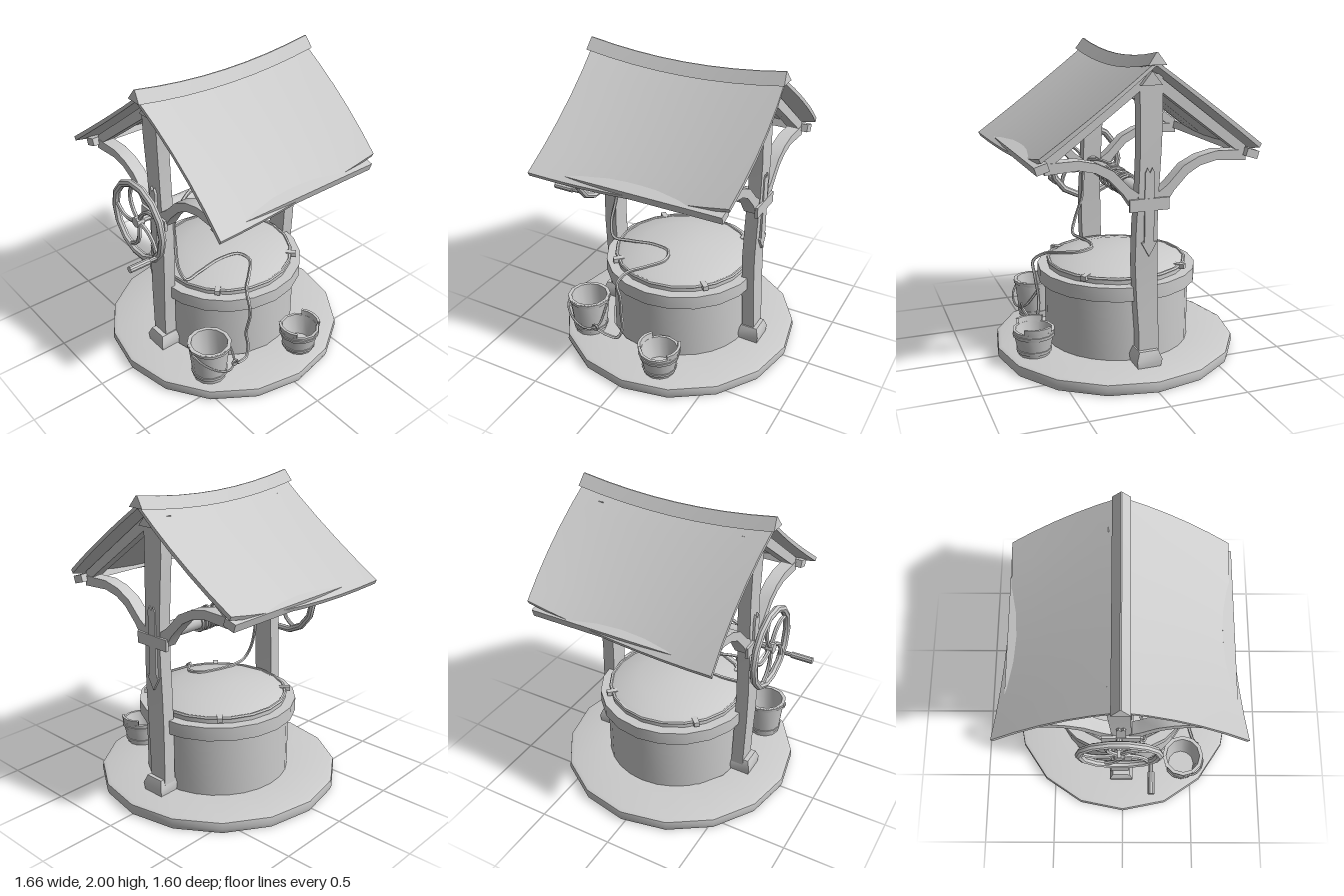
import * as THREE from 'three';
import { toCreasedNormals } from 'three/addons/utils/BufferGeometryUtils.js';

const V = (x, y, z) => new THREE.Vector3(x, y, z);
const ZC = -0.01; // z of the frame and the well axis
const XC = 0.05; // x of the well axis

export function createModel() {
  const root = new THREE.Group();
  const grey = new THREE.MeshStandardMaterial({ color: 0xcccccc, side: THREE.DoubleSide });

  const add = (name, geo, x = 0, y = 0, z = 0, parent = root) => {
    const mesh = new THREE.Mesh(toCreasedNormals(geo, 0.6), grey);
    mesh.name = name;
    mesh.position.set(x, y, z);
    parent.add(mesh);
    return mesh;
  };
  const box = (name, w, h, d, x, y, z, parent) => add(name, new THREE.BoxGeometry(w, h, d), x, y, z, parent);
  const lathe = (pts, seg, start = 0, span = Math.PI * 2) =>
    new THREE.LatheGeometry(pts.map(p => new THREE.Vector2(...p)), seg, start, span);
  const tube = (pts, r, n, sides = 6) =>
    new THREE.TubeGeometry(new THREE.CatmullRomCurve3(pts), n, r, sides);
  const rodX = (r, len, sides) => new THREE.CylinderGeometry(r, r, len, sides).rotateZ(Math.PI / 2);
  // Move every vertex of a geometry by a rule
  const bend = (geo, rule) => {
    const p = geo.attributes.position;
    for (let i = 0; i < p.count; i++) p.setXYZ(i, ...rule(p.getX(i), p.getY(i), p.getZ(i)));
    return geo;
  };
  // Outline in (z, y), extruded along x and centred
  const sideShape = (pts, depth) =>
    new THREE.ExtrudeGeometry(new THREE.Shape(pts.map(p => new THREE.Vector2(...p))), { depth, bevelEnabled: false })
      .rotateY(-Math.PI / 2).translate(depth / 2, 0, 0);
  // Quadratic through values at u = 0, 0.5, 1
  const quad = (a, b, c, u) => a * (1 - u) * (1 - 2 * u) + 4 * b * u * (1 - u) + c * u * (2 * u - 1);

  // Stone base, hollow below, and the well itself
  add('baseSlab', lathe([[0.79, 0], [0.8, 0.03], [0.795, 0.07], [0.77, 0.08], [0.47, 0.085]], 16), 0.03, 0, 0);
  add('wellWall', lathe([[0.475, 0.04], [0.475, 0.5]], 28), XC, 0, ZC);
  add('wellRim', lathe([[0.47, 0.49], [0.52, 0.49], [0.52, 0.58], [0.44, 0.58], [0.44, 0.49], [0.47, 0.49]], 20), XC, 0, ZC);

  // Domed lid with hoop and clips
  add('lid', lathe([[0.455, 0.57], [0.455, 0.61], [0.41, 0.63], [0.27, 0.663], [0.12, 0.682], [0, 0.686]], 20), XC, 0, ZC);
  add('lidHoop', new THREE.TorusGeometry(0.45, 0.012, 6, 20).rotateX(Math.PI / 2), XC, 0.613, ZC);
  for (let i = 0; i < 4; i++) {
    const a = Math.PI / 4 + i * Math.PI / 2;
    box('lidClip', 0.035, 0.03, 0.07, XC + 0.45 * Math.sin(a), 0.613, ZC + 0.45 * Math.cos(a)).rotation.y = a;
  }

  // Two end frames: post, foot, braces, rafters and iron cross
  for (const side of [-1, 1]) {
    const frame = new THREE.Group();
    frame.name = side > 0 ? 'leftFrame' : 'rightFrame';
    frame.position.set(XC + side * 0.517, 0, ZC);
    root.add(frame);

    add('post', bend(new THREE.BoxGeometry(0.085, 1.8, 0.135, 1, 8, 1), (x, y, z) =>
      [x + 0.006 * Math.sin(y * 5), y + 0.97, z * (1 - 0.06 * Math.sin(y * 6)) + 0.012 * Math.sin(y * 4 + 2)]), 0, 0, 0, frame);
    add('foot', bend(new THREE.BoxGeometry(0.15, 0.11, 0.165, 1, 2, 1), (x, y, z) => {
      const k = y > 0.01 ? 0.75 : y < -0.01 ? 0.9 : 1;
      return [x * k, y + 0.13, z * k];
    }), side * 0.015, 0, 0, frame);

    for (const s of [-1, 1]) {
      add('brace', sideShape([[0.05, 1.07], [0.1, 1.09], [0.16, 1.18], [0.25, 1.275], [0.33, 1.32], [0.43, 1.343], [0.63, 1.33],
        [0.63, 1.395], [0.43, 1.4], [0.32, 1.375], [0.22, 1.325], [0.12, 1.22], [0.05, 1.17]].map(([z, y]) => [s * z, y]), 0.085), 0, 0, 0, frame);
      add('rafter', sideShape([[0, 1.9], [0.63, 1.42], [0.63, 1.37], [0.58, 1.385], [0, 1.82]].map(([z, y]) => [s * z, y]), 0.075), 0, 0, 0, frame);
    }

    // Iron cross with pointed ends on the outer face
    const out = side * 0.048;
    add('crossUpright', sideShape([[0, 0.79], [0.05, 0.88], [0.03, 0.88], [0.03, 0.97], [0.03, 1.3],
      [0.015, 1.33], [0, 1.3], [-0.015, 1.33], [-0.03, 1.3], [-0.03, 0.88], [-0.05, 0.88]], 0.015), out, 0, 0, frame);
    box('crossBar', 0.02, 0.075, 0.25, out, 1.11, 0, frame);
  }

  // Long beams under the roof
  add('ridgeBeam', sideShape([[-0.065, 1.81], [0.065, 1.81], [0, 1.89]], 1.18), XC, 0, ZC);
  for (const s of [-1, 1])
    box('eaveBeam', 1.2, 0.05, 0.08, XC, 1.375, ZC + s * 0.655).rotation.x = s * 0.3;

  // Sagging roof: one slab per slope
  for (const s of [1, -1]) {
    add(s > 0 ? 'frontRoof' : 'backRoof', bend(new THREE.BoxGeometry(1, 1, 1, 8, 1, 5), (x, y, z) => {
      const u = x + 0.5, t = 0.5 + s * z;
      const reach = s > 0 ? quad(0.76, 0.69, 0.68, u) : quad(0.77, 0.705, 0.695, u);
      const top = quad(1.95, 1.895, 1.95, u), eave = quad(1.385, 1.358, 1.44, u);
      const left = -0.6 + 0.1 * t * (1 - t), right = 0.7 - 0.02 * t + 0.1 * t * (1 - t);
      return [THREE.MathUtils.lerp(left, right, u),
        THREE.MathUtils.lerp(top, eave, t) + (y - 0.5) * 0.025,
        ZC + s * (reach * t + (y - 0.5) * 0.012 * t)];
    }));
  }
  add('ridgeCap', bend(new THREE.BoxGeometry(1, 1, 1, 8, 1, 1), (x, y, z) => [
    XC + x * (y > 0 ? 1.31 : 1.33), quad(1.965, 1.91, 1.965, x + 0.5) + y * 0.07, ZC + z * (y > 0 ? 0.008 : 0.11)]));

  // Axle with rope peg
  add('axle', rodX(0.055, 0.98, 14), XC, 1.145, ZC);
  box('ropePeg', 0.022, 0.05, 0.03, 0.285, 1.16, ZC + 0.055);

  // Crank wheel with curved spokes and a handle
  const wheel = new THREE.Group();
  wheel.name = 'crankWheel';
  wheel.position.set(-0.625, 1.125, -0.02);
  root.add(wheel);
  add('wheelRim', new THREE.TorusGeometry(0.252, 0.024, 8, 14).rotateY(Math.PI / 2), 0, 0, 0, wheel);
  add('wheelHub', rodX(0.035, 0.05, 10), 0, 0, 0, wheel);
  add('wheelShaft', rodX(0.02, 0.19, 8), 0.075, 0, 0, wheel);
  for (let i = 0; i < 5; i++) {
    const arm = [[0, 0], [0.09, 0.035], [0.17, 0.03], [0.25, -0.03]].map(([r, c]) => V(0, c, r));
    add('spoke', tube(arm, 0.014, 8), 0, 0, 0, wheel).rotation.x = 0.65 + i * Math.PI * 0.4;
  }
  add('handleStem', rodX(0.014, 0.09, 8), -0.04, -0.155, 0.2, wheel);
  add('handleGrip', rodX(0.022, 0.14, 10), -0.14, -0.155, 0.2, wheel);

  // Rope: tight coil, loose turns, then down over the lid to the bucket
  const rope = [];
  for (let i = 0; i <= 80; i++) {
    const turn = i / 10, a = turn * Math.PI * 2;
    const x = turn < 5 ? 0.265 - turn * 0.028 : 0.125 - (turn - 5) * 0.08;
    const r = turn < 5 ? 0.065 : 0.07;
    rope.push(V(x + 0.014 * Math.cos(a), 1.145 + r * Math.cos(a), ZC + r * Math.sin(a)));
  }
  rope.push(V(-0.25, 1.21, 0.01), V(-0.34, 1.19, 0.05), V(-0.41, 1.1, 0.06), V(-0.42, 0.92, 0.07), V(-0.435, 0.75, 0.12),
    V(-0.4, 0.665, 0.15), V(-0.28, 0.658, 0.13), V(-0.1, 0.675, 0.12), V(0.03, 0.682, 0.16), V(0.05, 0.672, 0.25),
    V(-0.04, 0.65, 0.35), V(-0.13, 0.625, 0.43), V(-0.165, 0.57, 0.5), V(-0.15, 0.47, 0.495), V(-0.16, 0.3, 0.47),
    V(-0.15, 0.2, 0.48), V(-0.18, 0.125, 0.5), V(-0.25, 0.135, 0.52), V(-0.31, 0.185, 0.55));
  add('rope', tube(rope, 0.011, 420, 5));

  // Buckets with hoops
  const bucket = (name, x, z, rb, rt, h, hoops) => {
    const g = new THREE.Group();
    g.name = name;
    g.position.set(x, 0.083, z);
    root.add(g);
    add('staves', lathe([[0, 0.005], [rb, 0], [rt, h], [rt - 0.018, h], [rb - 0.015, 0.03], [0, 0.03]], 12), 0, 0, 0, g);
    for (const y of hoops) {
      const r = k => rb + (rt - rb) * k / h + 0.007;
      add('hoop', lathe([[r(y) - 0.01, y], [r(y), y], [r(y + 0.022), y + 0.022], [r(y) - 0.01, y + 0.022]], 12), 0, 0, 0, g);
    }
    return g;
  };
  const tall = bucket('tallBucket', -0.435, 0.43, 0.108, 0.138, 0.268, [0.03, 0.245]);
  add('bail', tube([V(-0.14, 0.235, 0), V(-0.115, 0.2, 0.09), V(-0.04, 0.145, 0.145), V(0.06, 0.1, 0.145),
    V(0.125, 0.115, 0.1), V(0.14, 0.235, 0)], 0.008, 24), 0, 0, 0, tall);
  add('ropeKnot', new THREE.TorusGeometry(0.02, 0.008, 6, 10), 0.115, 0.11, 0.12, tall);

  const low = bucket('lowBucket', 0.2, 0.6, 0.1, 0.135, 0.17, [0.02, 0.125]);
  for (const s of [-1, 1])
    add('raisedStaves', lathe([[0.132, 0.16], [0.14, 0.205], [0.122, 0.205], [0.115, 0.16], [0.132, 0.16]], 4,
      s * Math.PI / 2 - 0.7, 1.4), 0, 0, 0, low);

  return root;
}
